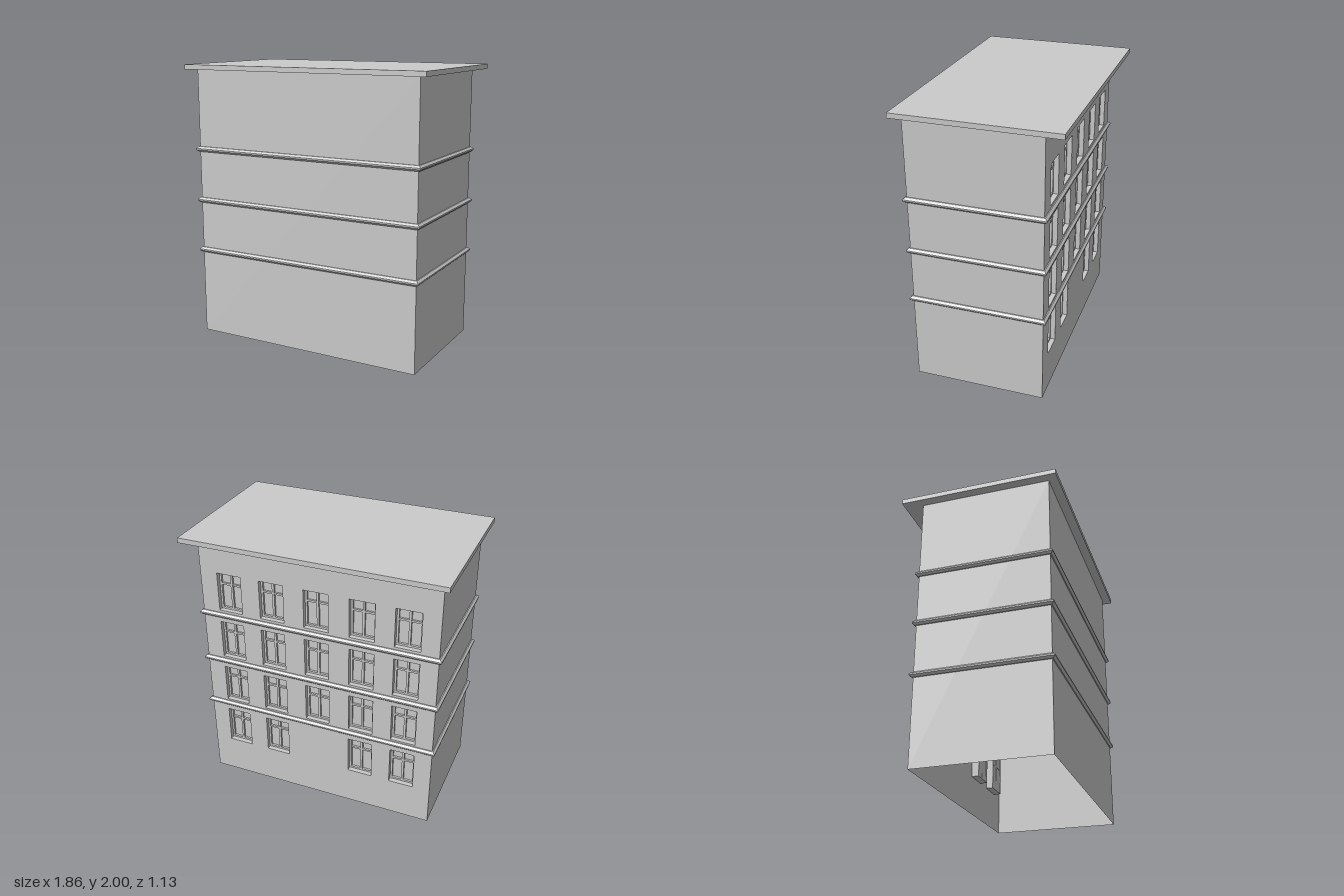
import * as THREE from 'three';

const grey = new THREE.MeshStandardMaterial({ color: 0xcccccc, side: THREE.DoubleSide });

// Body extents
const W = 0.862, FRONT = 0.5, BACK = -0.43, TOP = 1.968;
const DEPTH = FRONT - BACK, MID_Z = (FRONT + BACK) / 2;

// Window layout on the back wall
const COLUMNS = [-0.645, -0.328, 0, 0.328, 0.645];
const WIN_W = 0.18, WIN_H = 0.288, FIRST_SILL = 0.285, STOREY = 0.381;

function part(name, geometry, x = 0, y = 0, z = 0) {
  const mesh = new THREE.Mesh(geometry, grey);
  mesh.name = name;
  mesh.position.set(x, y, z);
  return mesh;
}

// Draws a rectangle onto a Shape or Path
function rect(path, x0, y0, x1, y1) {
  path.moveTo(x0, y0);
  path.lineTo(x1, y0);
  path.lineTo(x1, y1);
  path.lineTo(x0, y1);
  path.closePath();
  return path;
}

function ring(hw, hh, thickness) {
  const shape = rect(new THREE.Shape(), -hw, -hh, hw, hh);
  shape.holes.push(rect(new THREE.Path(), -hw + thickness, -hh + thickness, hw - thickness, hh - thickness));
  return shape;
}

const flat = (depth) => ({ depth, bevelEnabled: false });

// Recessed window: reveal, frame, mullion, transom and glass; outward is +z
const hw = WIN_W / 2, hh = WIN_H / 2;
const revealGeo = new THREE.ExtrudeGeometry(ring(hw + 0.003, hh + 0.003, 0.003), flat(0.053));
const frameGeo = new THREE.ExtrudeGeometry(ring(hw, hh, 0.014), flat(0.018));
const mullionGeo = new THREE.BoxGeometry(0.016, WIN_H, 0.018);
const transomGeo = new THREE.BoxGeometry(WIN_W, 0.014, 0.016);
const glassGeo = new THREE.PlaneGeometry(WIN_W, WIN_H);

function makeWindow() {
  const g = new THREE.Group();
  g.name = 'window';
  g.add(
    part('windowReveal', revealGeo, 0, 0, -0.054),
    part('windowFrame', frameGeo, 0, 0, -0.053),
    part('windowMullion', mullionGeo, 0, 0, -0.044),
    part('windowTransom', transomGeo, 0, 0.05, -0.045),
    part('windowGlass', glassGeo, 0, 0, -0.051)
  );
  return g;
}

// Back wall with window openings; the middle of the ground floor is blank
function makeBackWall() {
  const g = new THREE.Group();
  g.name = 'backWall';
  const wall = rect(new THREE.Shape(), -W, 0, W, TOP);
  for (let row = 0; row < 4; row++) {
    COLUMNS.forEach((x, col) => {
      if (row === 0 && col === 2) return;
      const y = FIRST_SILL + row * STOREY + hh;
      wall.holes.push(rect(new THREE.Path(), x - hw, y - hh, x + hw, y + hh));
      const win = makeWindow();
      win.position.set(x, y, 0);
      g.add(win);
    });
  }
  g.add(part('backWallFace', new THREE.ShapeGeometry(wall)));
  g.position.z = BACK;
  g.rotation.y = Math.PI;
  return g;
}

// String course: a bevelled ring running around the walls, inside and out
function makeBand(y) {
  const shape = ring(W + 0.007, DEPTH / 2 + 0.007, 0.014);
  const geo = new THREE.ExtrudeGeometry(shape, {
    depth: 0.01, bevelEnabled: true, bevelSegments: 1, bevelSize: 0.015, bevelThickness: 0.014,
  });
  geo.translate(0, 0, -0.005);
  geo.rotateX(-Math.PI / 2);
  return part('stringCourse', geo, 0, y, MID_Z);
}

export function createModel() {
  const model = new THREE.Group();
  model.name = 'building';

  // Blank front and side walls, open at the bottom
  model.add(part('frontWall', new THREE.PlaneGeometry(2 * W, TOP), 0, TOP / 2, FRONT));
  for (const s of [1, -1]) {
    const side = part('sideWall', new THREE.PlaneGeometry(DEPTH, TOP), s * W, TOP / 2, MID_Z);
    side.rotation.y = s * Math.PI / 2;
    model.add(side);
  }
  model.add(makeBackWall());

  // String courses between storeys
  for (let i = 0; i < 3; i++) model.add(makeBand(0.635 + i * 0.378));

  // Overhanging roof slab
  model.add(part('roof', new THREE.BoxGeometry(1.855, 0.035, 1.13), 0, 1.9825, 0));
  return model;
}
